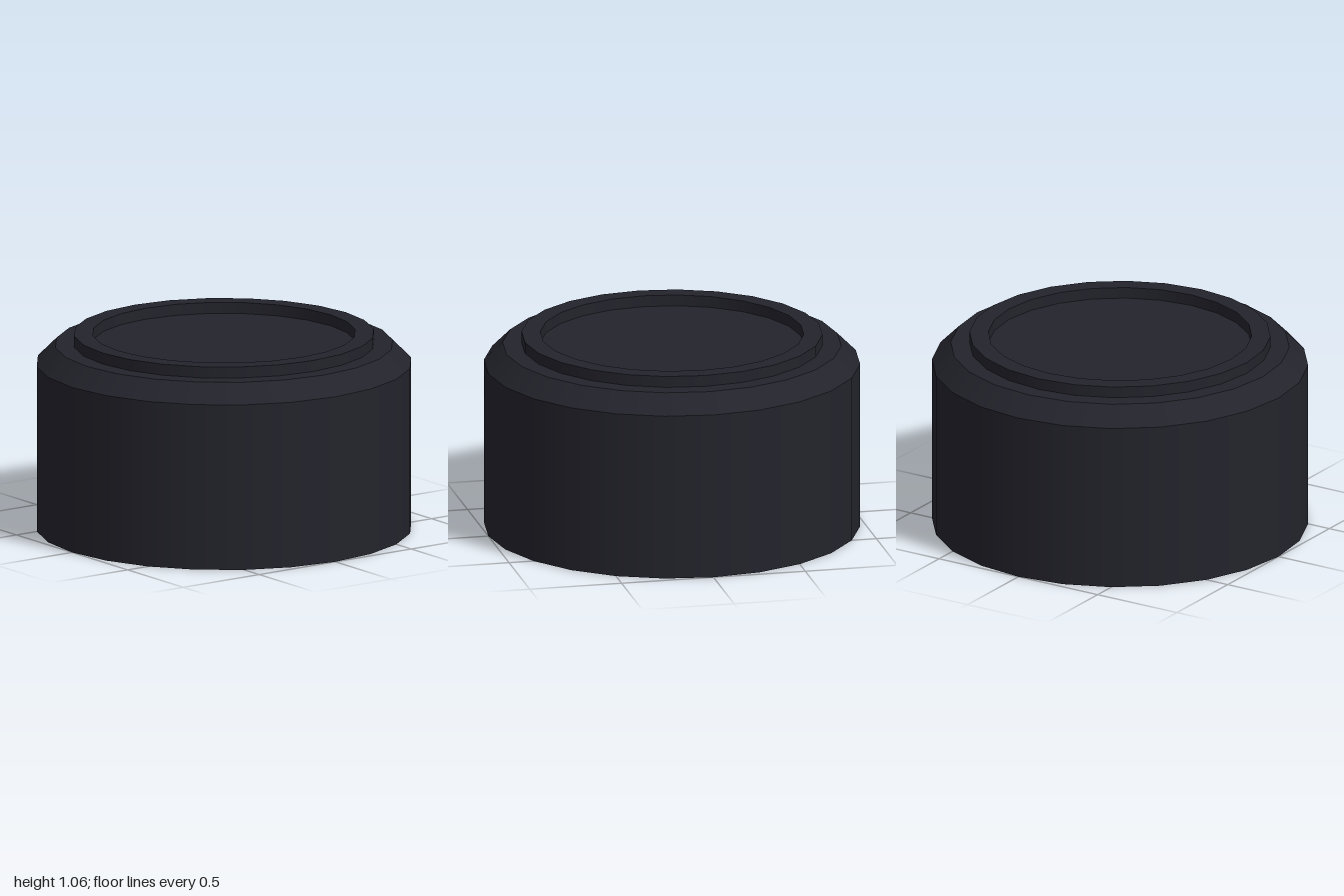
import * as THREE from 'three';

const SIDES = 24;

export function createModel() {
  const model = new THREE.Group();
  model.name = 'cap';

  const darkPlastic = new THREE.MeshStandardMaterial({ color: 0x23232c, side: THREE.DoubleSide });
  darkPlastic.name = 'dark plastic';

  // Profile of the thin hollow shell, [radius, height] from the open bottom to the top centre
  const profile = [
    [1, 0], [1, 0.9], [0.9, 1], [0.8, 1], [0.8, 1.06], [0.7, 1.06], [0.7, 1], [0, 1],
  ].map(([r, y]) => new THREE.Vector2(r, y));

  const names = ['sideWall', 'chamfer', 'shoulder', 'rimOuterWall', 'rimTop', 'rimInnerWall', 'recessedLid'];

  // One band per profile step: smooth around the axis, sharp between bands
  names.forEach((name, i) => {
    const band = new THREE.LatheGeometry([profile[i], profile[i + 1]], SIDES);
    const mesh = new THREE.Mesh(band, darkPlastic);
    mesh.name = name;
    model.add(mesh);
  });

  return model;
}
